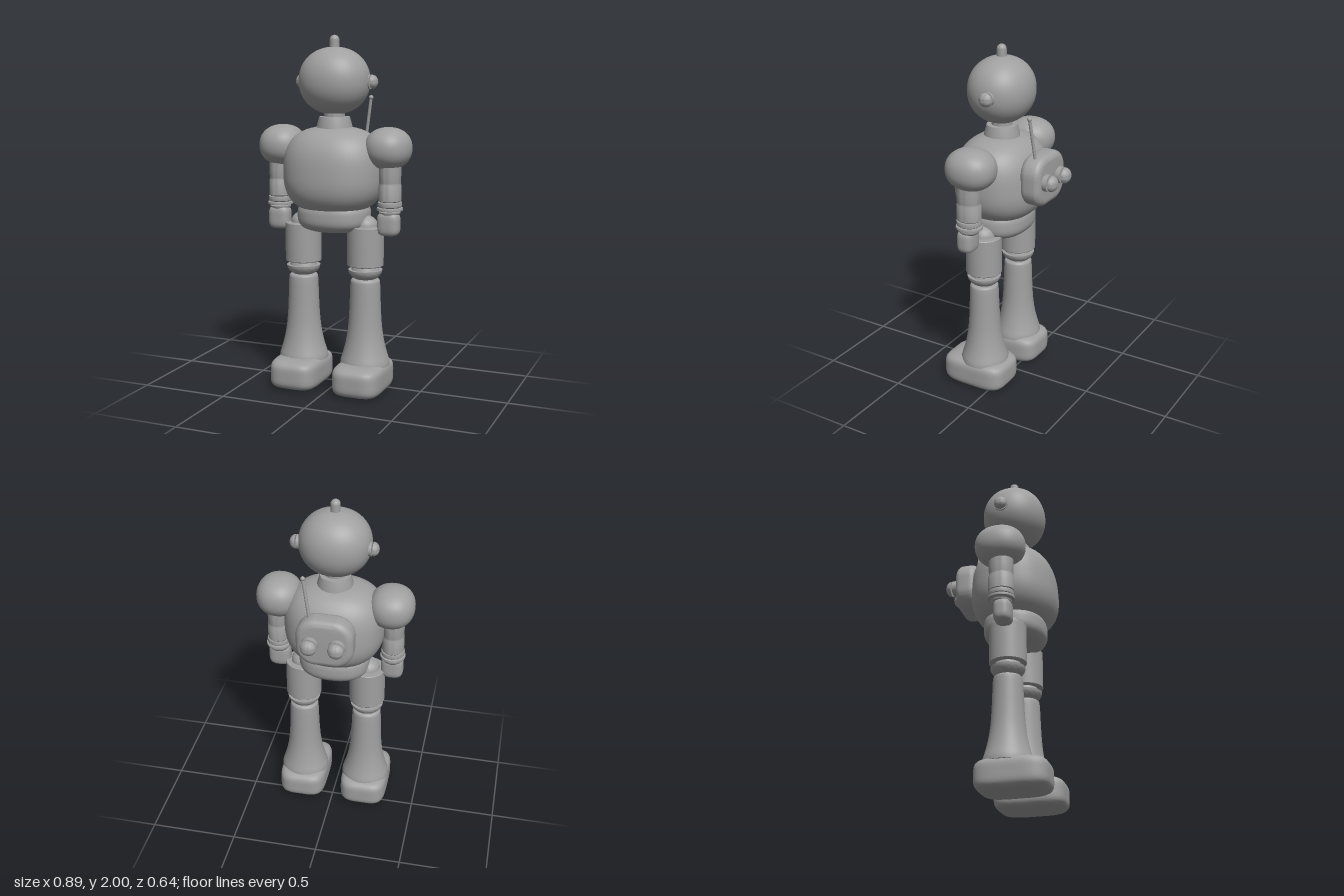
import * as THREE from 'three';
import { mergeVertices, toCreasedNormals } from 'three/addons/utils/BufferGeometryUtils.js';
import { RoundedBoxGeometry } from 'three/addons/geometries/RoundedBoxGeometry.js';

const grey = new THREE.MeshStandardMaterial({ color: 0xa0a0a0 });
grey.name = 'grey';

function add(parent, name, geometry, x = 0, y = 0, z = 0) {
  const mesh = new THREE.Mesh(geometry, grey);
  mesh.name = name;
  mesh.position.set(x, y, z);
  parent.add(mesh);
  return mesh;
}

// Rounded blob: a is the squareness seen from above, b the squareness seen from the side
function blob(rx, ry, rz, a = 2, b = a, taper = 0) {
  let g = new THREE.SphereGeometry(1, 56, 40);
  g.deleteAttribute('uv');
  g.deleteAttribute('normal');
  g = mergeVertices(g, 1e-5);
  const p = g.attributes.position;
  for (let i = 0; i < p.count; i++) {
    const x = p.getX(i), y = p.getY(i), z = p.getZ(i);
    const plan = (Math.abs(x) ** a + Math.abs(z) ** a) ** (b / a);
    const s = (plan + Math.abs(y) ** b) ** (-1 / b);
    p.setXYZ(i, x * s * rx, y * s * ry, z * s * rz * (1 - taper * y * s));
  }
  g.computeVertexNormals();
  return g;
}

// Turned part from [radius, height] pairs, keeping hard edges sharp
function turned(points, smooth = 0.6) {
  const g = new THREE.LatheGeometry(points.map(([r, y]) => new THREE.Vector2(r, y)), 40);
  return toCreasedNormals(g, smooth);
}

// Closed dome pointing up, base at y = 0
function dome(r, h) {
  const pts = [[0, 0]];
  for (let i = 0; i <= 10; i++) {
    const t = (i / 10) * Math.PI / 2;
    pts.push([r * Math.cos(t), h * Math.sin(t)]);
  }
  return turned(pts);
}

function makeHead() {
  const g = new THREE.Group();
  g.name = 'head';
  add(g, 'skull', blob(0.2, 0.186, 0.183, 2.1), 0, 1.75, 0.072);
  add(g, 'topKnob', new THREE.CapsuleGeometry(0.027, 0.05, 8, 24), 0, 1.948, 0.072);
  add(g, 'neck', turned([[0.058, 1.5], [0.058, 1.6]]), 0, 0, 0.072);
  add(g, 'collar', turned([[0.103, 1.46], [0.1, 1.5], [0.086, 1.552], [0, 1.555]], 0.4), 0, 0, 0.072);
  for (const s of [1, -1]) {
    const ear = new THREE.Group();
    ear.name = s > 0 ? 'leftEar' : 'rightEar';
    add(ear, 'earBase', new THREE.CylinderGeometry(0.04, 0.04, 0.05, 32), 0, -0.032, 0);
    add(ear, 'earCap', dome(0.039, 0.033));
    ear.position.set(s * 0.211, 1.745, 0.043);
    ear.rotation.z = -s * Math.PI / 2;
    g.add(ear);
  }
  return g;
}

function makeBackpack() {
  const g = new THREE.Group();
  g.name = 'backpack';
  const w = 0.12, h = 0.105, r = 0.07;
  const s = new THREE.Shape();
  s.absarc(w - r, h - r, r, 0, Math.PI / 2);
  s.absarc(-w + r, h - r, r, Math.PI / 2, Math.PI);
  s.absarc(-w + r, -h + r, r, Math.PI, Math.PI * 1.5);
  s.absarc(w - r, -h + r, r, Math.PI * 1.5, Math.PI * 2);
  const pack = new THREE.ExtrudeGeometry(s, {
    depth: 0.045, bevelThickness: 0.04, bevelSize: 0.04, bevelSegments: 8, curveSegments: 12,
  });
  add(g, 'pack', toCreasedNormals(pack, 0.7), 0, 1.287, -0.209);
  for (const x of [-0.075, 0.075]) {
    const jet = new THREE.Group();
    jet.name = 'packKnob';
    add(jet, 'knobBase', new THREE.CylinderGeometry(0.047, 0.047, 0.05, 32), 0, -0.034, 0);
    add(jet, 'knobCap', dome(0.045, 0.037));
    jet.position.set(x, 1.29, -0.285);
    jet.rotation.x = -Math.PI / 2;
    g.add(jet);
  }
  const foot = new THREE.Vector3(0.087, 1.41, -0.192), tip = new THREE.Vector3(0.124, 1.65, -0.175);
  add(g, 'antenna', new THREE.TubeGeometry(new THREE.LineCurve3(foot, tip), 1, 0.009, 16));
  add(g, 'antennaTip', new THREE.SphereGeometry(0.013, 20, 14), tip.x, tip.y, tip.z);
  return g;
}

function makeArm(s) {
  const g = new THREE.Group();
  g.name = s > 0 ? 'leftArm' : 'rightArm';
  add(g, 'shoulder', blob(0.128, 0.116, 0.142, 2.2), s * 0.319, 1.386, 0.072);
  const sleeve = add(g, 'arm', turned([
    [0, 1.33], [0.06, 1.33], [0.061, 1.25], [0.059, 1.2], [0.058, 1.195], [0.062, 1.185],
    [0.062, 1.1], [0.058, 1.095],
  ].reverse()), s * 0.333, 0, 0.081);
  const cuff = add(g, 'cuff', turned([
    [0, 1.046], [0.071, 1.046], [0.073, 1.052], [0.071, 1.06], [0.06, 1.063], [0.066, 1.068],
    [0.068, 1.08], [0.066, 1.092], [0, 1.096],
  ]), s * 0.333, 0, 0.081);
  sleeve.scale.z = 1.15;
  cuff.scale.z = 1.06;
  const cup = add(g, 'wrist', dome(0.06, 0.033), s * 0.333, 1.037, 0.081);
  cup.rotation.x = Math.PI;
  add(g, 'hand', blob(0.064, 0.066, 0.05, 2.8, 4), s * 0.331, 0.971, 0.092);
  return g;
}

function makeLeg(s) {
  const g = new THREE.Group();
  g.name = s > 0 ? 'leftLeg' : 'rightLeg';
  add(g, 'hipJoint', dome(0.07, 0.06), 0, 0.95, 0);
  add(g, 'thigh', turned([
    [0, 0.725], [0.1, 0.725], [0.103, 0.729], [0.103, 0.945], [0.1, 0.949], [0, 0.95],
  ]));
  add(g, 'kneePost', turned([[0.078, 0.702], [0.07, 0.726]]));
  add(g, 'kneeCup', dome(0.096, 0.065), 0, 0.702, 0).rotation.x = Math.PI;
  // Flared shin, rounded over at the top
  const profile = [
    [0.142, 0.155], [0.139, 0.18], [0.125, 0.225], [0.11, 0.285], [0.098, 0.36], [0.091, 0.45],
    [0.087, 0.55], [0.084, 0.625], [0.078, 0.644], [0.06, 0.651], [0, 0.652],
  ].map(([r, y]) => new THREE.Vector2(r, y));
  add(g, 'shin', new THREE.LatheGeometry([new THREE.Vector2(0, 0.155), new THREE.Vector2(0.142, 0.155),
    ...new THREE.SplineCurve(profile).getPoints(36)], 48)).scale.z = 0.97;
  add(g, 'foot', blob(0.141, 0.0885, 0.199, 4.2, 4.5), 0, 0.0885, 0.03);
  g.position.set(s * 0.19, 0, 0.08);
  return g;
}

export function createModel() {
  const robot = new THREE.Group();
  robot.name = 'robot';
  add(robot, 'torso', blob(0.285, 0.245, 0.242, 2.3, 2.7, 0.07), 0, 1.255, 0.075);
  add(robot, 'pelvis', blob(0.205, 0.096, 0.175, 2.4, 3), 0, 1.002, 0.076);
  robot.add(makeHead(), makeBackpack());
  for (const s of [1, -1]) robot.add(makeArm(s), makeLeg(s));
  return robot;
}
